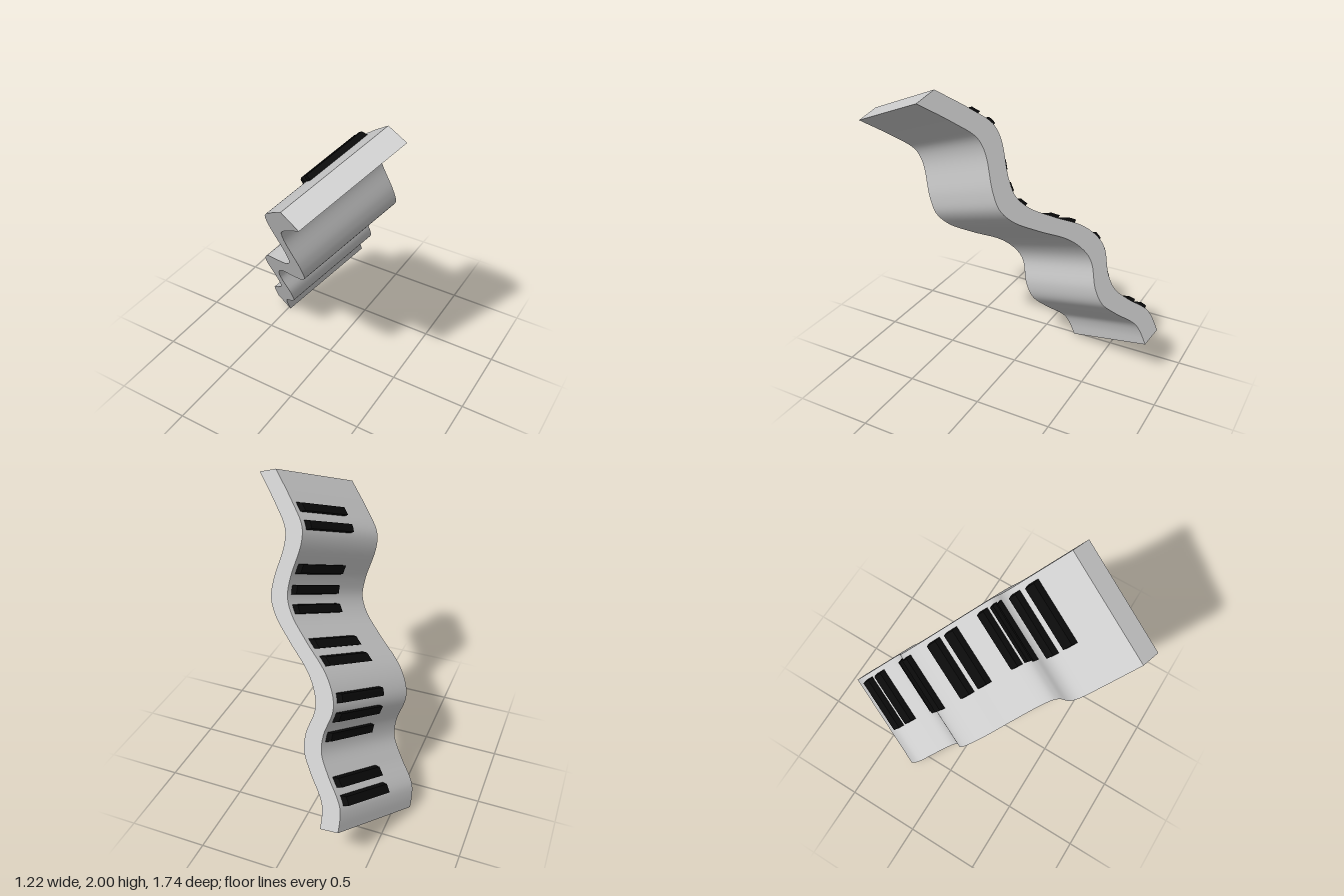
import * as THREE from 'three';

// Height of the wave at stations along the keyboard's length
const stations = [0, 0.09, 0.16, 0.33, 0.45, 0.56, 0.70, 0.78, 0.92, 1.11, 1.26, 1.37, 1.47, 1.69, 1.78, 1.92, 2.133];
const heights = [0, 0.018, 0.016, -0.069, -0.115, -0.098, -0.022, -0.017, -0.07, -0.222, -0.33, -0.363, -0.34, -0.238, -0.233, -0.303, -0.435];
const wave = new THREE.CubicInterpolant(stations, heights, 1, new Float32Array(1));

const LENGTH = 2.133, THICK = 0.139, WIDTH = 0.716;

// Shift every vertex up by the wave height at its station
function bend(geometry) {
  const p = geometry.attributes.position;
  for (let i = 0; i < p.count; i++) {
    const s = THREE.MathUtils.clamp(p.getX(i), 0, LENGTH);
    p.setY(i, p.getY(i) + wave.evaluate(s)[0]);
  }
  geometry.computeVertexNormals();
  return geometry;
}

// Black key: a box whose top is slightly inset
function keyGeometry(s) {
  const w = 0.062, h = 0.05, l = 0.41;
  const g = new THREE.BoxGeometry(w, h, l, 4, 1, 1);
  const p = g.attributes.position;
  for (let i = 0; i < p.count; i++) {
    if (p.getY(i) > 0) {
      p.setX(i, p.getX(i) * 0.8);
      p.setZ(i, p.getZ(i) * 0.95);
    }
  }
  g.translate(s, THICK + 0.012, -WIDTH + 0.03 + l / 2);
  return bend(g);
}

export function createModel() {
  const group = new THREE.Group();
  group.name = 'wavyKeyboard';
  const grey = new THREE.MeshStandardMaterial({ color: 0xcccccc });
  const black = new THREE.MeshStandardMaterial({ color: 0x0a0a0a });

  // Local frame: x along the length, y through the thickness, z across the width
  const keyboard = new THREE.Group();
  keyboard.name = 'keyboard';

  // Wavy slab
  const slab = new THREE.BoxGeometry(LENGTH, THICK, WIDTH, 96, 1, 1);
  slab.translate(LENGTH / 2, THICK / 2, -WIDTH / 2);
  const body = new THREE.Mesh(bend(slab), grey);
  body.name = 'keyboardBody';
  keyboard.add(body);

  // Black keys in groups of two and three
  [0.185, 0.285, 0.545, 0.665, 0.78, 0.99, 1.09, 1.293, 1.41, 1.532, 1.788, 1.897].forEach((s, i) => {
    const key = new THREE.Mesh(keyGeometry(s), black);
    key.name = 'blackKey' + (i + 1);
    keyboard.add(key);
  });

  // Tilt the whole keyboard into its leaning pose
  const along = new THREE.Vector3(0.205, 0.86, 0.467).normalize();
  const across = new THREE.Vector3(-0.363, -0.377, 0.852);
  across.addScaledVector(along, -across.dot(along)).normalize();
  const up = new THREE.Vector3().crossVectors(across, along);
  keyboard.quaternion.setFromRotationMatrix(new THREE.Matrix4().makeBasis(along, up, across));
  keyboard.position.set(-0.482, 0, -0.24);
  group.add(keyboard);

  // Centre on x and z, stand on the ground
  group.updateMatrixWorld(true);
  const box = new THREE.Box3().setFromObject(group, true);
  const c = box.getCenter(new THREE.Vector3());
  keyboard.position.sub(new THREE.Vector3(c.x, box.min.y, c.z));
  return group;
}
